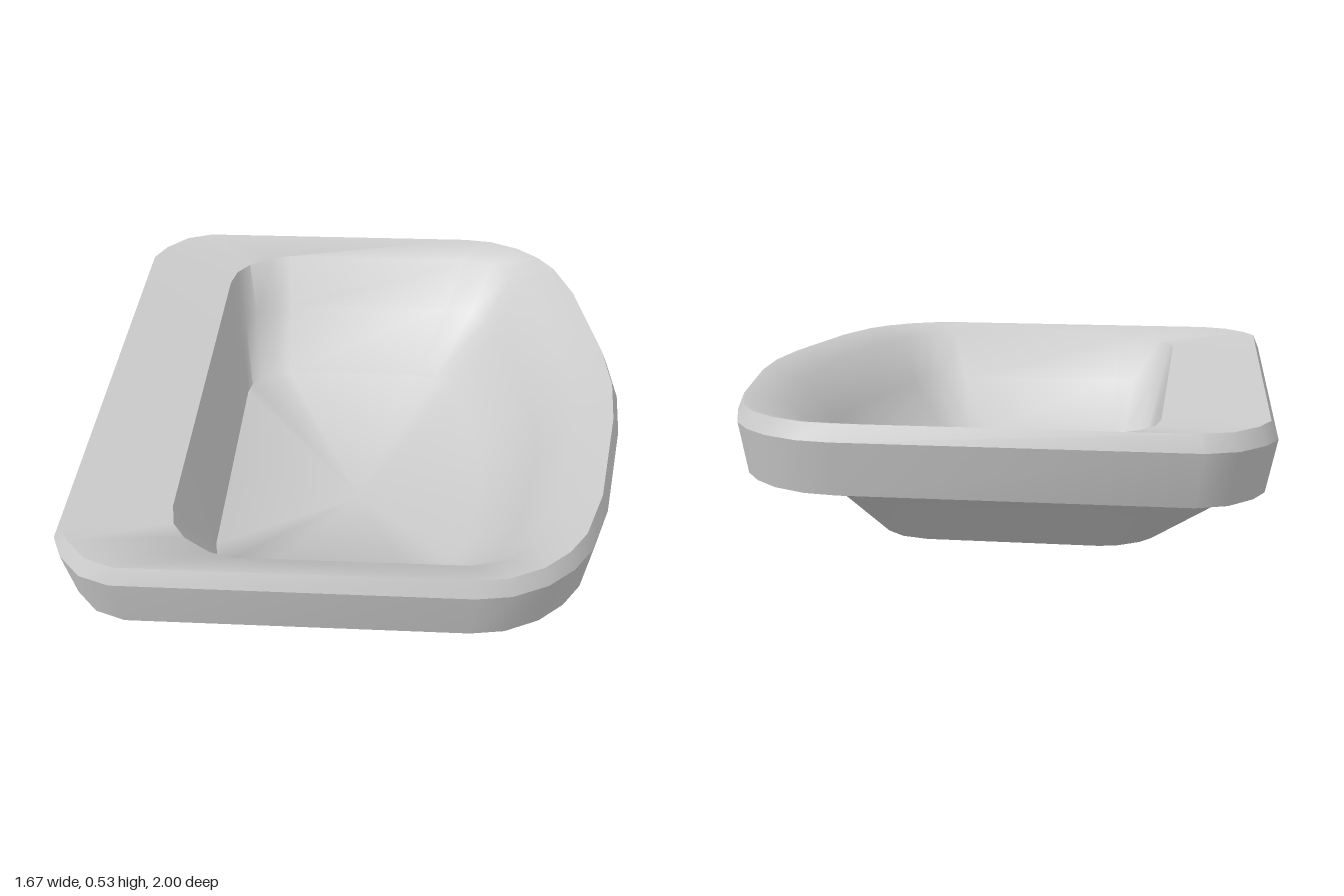
import * as THREE from 'three';
import { toCreasedNormals } from 'three/addons/utils/BufferGeometryUtils.js';

// Half outlines (x, z), from the bowed +x side round to the straight -x side
const RIM = [[0.835, 0], [0.82, 0.2], [0.75, 0.6], [0.69, 0.78], [0.635, 0.865], [0.56, 0.935], [0.46, 0.985],
  [0.36, 1], [-0.64, 0.995], [-0.73, 0.96], [-0.8, 0.88], [-0.835, 0.8], [-0.835, 0]];
const BASIN = [[0.68, 0], [0.67, 0.2], [0.6, 0.57], [0.55, 0.7], [0.52, 0.78], [0.45, 0.85], [0.35, 0.88],
  [-0.31, 0.88], [-0.38, 0.86], [-0.46, 0.8], [-0.5, 0.74], [-0.515, 0.66], [-0.515, 0]];

// Closed ring: an outline fitted to x0..x1 and -z..z at height y
function ring(outline, x0, x1, z, y) {
  const xs = outline.map(p => p[0]), lo = Math.min(...xs), hi = Math.max(...xs);
  const zMax = Math.max(...outline.map(p => p[1]));
  const half = outline.map(([px, pz]) =>
    [x0 + (px - lo) / (hi - lo) * (x1 - x0), y, pz / zMax * z]);
  const mirrored = half.slice(1, -1).reverse().map(([px, py, pz]) => [px, py, -pz]);
  return [...half, ...mirrored];
}

// Skin through successive rings, smooth except at steep creases
function loft(name, rings, material) {
  const n = rings[0].length, index = [];
  for (let r = 0; r < rings.length - 1; r++) {
    for (let i = 0; i < n; i++) {
      const a = r * n + i, b = r * n + (i + 1) % n;
      index.push(a, a + n, b, b, a + n, b + n);
    }
  }
  const geometry = new THREE.BufferGeometry();
  geometry.setAttribute('position', new THREE.Float32BufferAttribute(rings.flat(2), 3));
  geometry.setIndex(index);
  const mesh = new THREE.Mesh(toCreasedNormals(geometry, 0.9), material);
  mesh.name = name;
  return mesh;
}

export function createModel() {
  const group = new THREE.Group();
  group.name = 'washbasin';
  const material = new THREE.MeshStandardMaterial({ color: 0xcccccc });

  const rimBottom = ring(RIM, -0.805, 0.81, 0.97, 0.33);
  const rimWide = ring(RIM, -0.835, 0.835, 1, 0.485);
  const rimTop = ring(RIM, -0.815, 0.815, 0.98, 0.533);

  // Outer shell, from the foot up to the rim
  group.add(loft('underside', [
    ring(BASIN, -0.08, -0.08, 0, 0),
    ring(BASIN, -0.31, 0.15, 0.25, 0),
    ring(BASIN, -0.5, 0.43, 0.62, 0.108),
    ring(BASIN, -0.765, 0.64, 0.8, 0.303),
    rimBottom,
  ], material));

  // Rim bands, kept separate for crisp edges
  group.add(loft('rimSide', [rimBottom, rimWide], material));
  group.add(loft('rimBevel', [rimWide, rimTop], material));

  // Rim top dips gently inward, then rolls into the hollow
  group.add(loft('bowl', [
    rimTop,
    ring(BASIN, -0.515, 0.68, 0.88, 0.5),
    ring(BASIN, -0.48, 0.58, 0.77, 0.35),
    ring(BASIN, -0.44, 0.41, 0.58, 0.17),
    ring(BASIN, -0.01, -0.01, 0, 0.035),
  ], material));
  return group;
}
